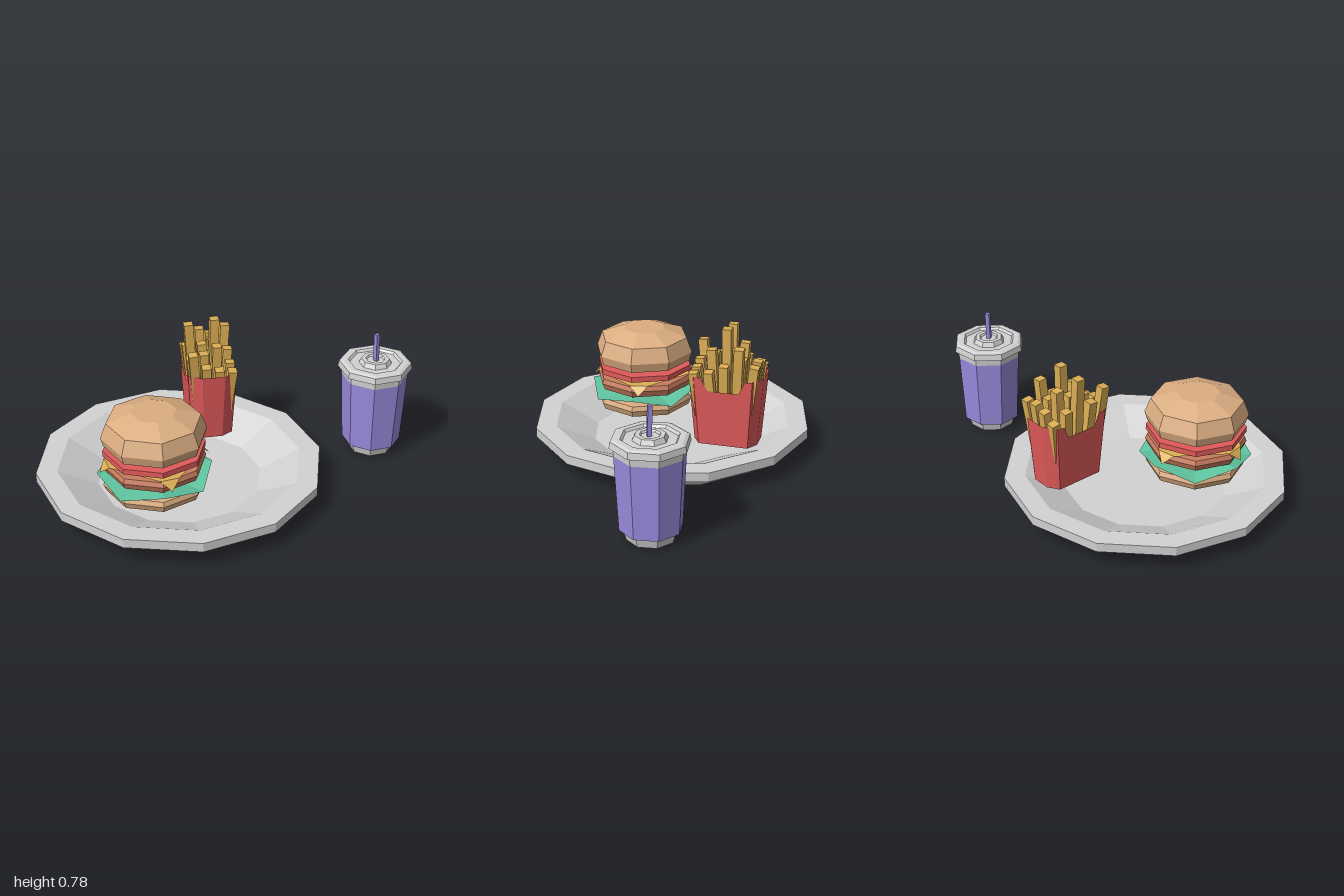
import * as THREE from 'three';

const mat = (name, color, side = THREE.FrontSide) => {
  const m = new THREE.MeshStandardMaterial({ color, side });
  m.name = name;
  return m;
};

// faceted copy of a geometry
const flat = (g) => {
  const f = g.index ? g.toNonIndexed() : g;
  f.computeVertexNormals();
  return f;
};

function add(parent, name, geometry, material) {
  const mesh = new THREE.Mesh(flat(geometry), material);
  mesh.name = name;
  parent.add(mesh);
  return mesh;
}

// profile is [radius, height] pairs, running up the outside
const lathe = (profile, sides, turn = 0) =>
  new THREE.LatheGeometry(profile.map(([r, y]) => new THREE.Vector2(r, y)), sides, turn);

// triangles from a centre point to a closed ring of points
function fan(centre, ring) {
  const pos = [];
  ring.forEach((p, i) => pos.push(...centre, ...p, ...ring[(i + 1) % ring.length]));
  return new THREE.BufferGeometry().setAttribute('position', new THREE.Float32BufferAttribute(pos, 3));
}

// wall between two closed rings of points
function wall(low, high) {
  const pos = [];
  low.forEach((a, i) => {
    const j = (i + 1) % low.length;
    pos.push(...a, ...low[j], ...high[j], ...a, ...high[j], ...high[i]);
  });
  return new THREE.BufferGeometry().setAttribute('position', new THREE.Float32BufferAttribute(pos, 3));
}

export function createModel() {
  const model = new THREE.Group();
  const grey = mat('light grey', 0xd2d2d2);
  const bun = mat('bun tan', 0xdcae82);
  const brown = mat('patty brown', 0xc87c5e);
  const green = mat('lettuce green', 0x5fc4a0, THREE.DoubleSide);
  const red = mat('red', 0xe05a5a, THREE.DoubleSide);
  const gold = mat('golden yellow', 0xdcae55, THREE.DoubleSide);
  const purple = mat('purple', 0x9a8ade);

  // plate: foot, flared underside, rim and sunken floor
  const plate = add(model, 'plate', lathe([
    [0, 0], [0.58, 0], [0.65, 0.05], [0.75, 0.1], [0.75, 0.15],
    [0.64, 0.15], [0.43, 0.05], [0, 0.05],
  ], 12), grey);
  plate.position.x = -0.25;

  // burger: stacked layers
  const burger = new THREE.Group();
  burger.name = 'burger';
  burger.position.set(-0.49, 0, 0.1);
  model.add(burger);
  const turn = Math.PI / 8 - 0.1;
  const layer = (name, profile, material) => add(burger, name, lathe(profile, 8, turn), material);
  layer('bottomBun', [[0, 0.15], [0.25, 0.15], [0.265, 0.185], [0.255, 0.21], [0, 0.21]], bun);
  layer('patty', [[0, 0.265], [0.25, 0.265], [0.265, 0.3], [0.255, 0.325], [0, 0.325]], brown);
  layer('tomato', [[0, 0.355], [0.262, 0.355], [0.262, 0.385], [0, 0.385]], red);
  layer('topBun', [[0, 0.41], [0.255, 0.41], [0.27, 0.46], [0.24, 0.54], [0.115, 0.585], [0, 0.585]], bun);

  // lettuce: thin sheet with a wavy edge
  const leaf = [];
  for (let i = 0; i < 8; i++) {
    const a = turn + (i * Math.PI) / 4;
    leaf.push([0.295 * Math.sin(a), i % 2 ? 0.258 : 0.215, 0.295 * Math.cos(a)]);
  }
  add(burger, 'lettuce', fan([0, 0.237, 0], leaf), green);

  // cheese: square slice whose four corners fold down
  const slice = [];
  const cheese = new THREE.Group();
  cheese.name = 'cheese';
  cheese.rotation.y = -0.35;
  burger.add(cheese);
  for (let i = 0; i < 4; i++) {
    const s = Math.sin((i * Math.PI) / 2), c = Math.cos((i * Math.PI) / 2);
    const at = (side, y, out) => [out * s + side * c, y, out * c - side * s];
    const l = at(-0.05, 0.334, 0.25), r = at(0.05, 0.334, 0.25);
    slice.push(l, r);
    add(cheese, 'cheeseCorner', fan(l, [r, at(0, 0.286, 0.288), l]), gold);
  }
  add(cheese, 'cheeseSlice', fan([0, 0.334, 0], slice), gold);

  // fries carton: tapered, bulging ends, long sides cut low
  const fries = new THREE.Group();
  fries.name = 'friesCarton';
  fries.position.set(0.115, 0, -0.21);
  fries.rotation.y = -Math.PI / 6;
  model.add(fries);
  const half = [
    [0.06, 0.53, 0.2], [0.13, 0.53, 0.155], [0.13, 0.525, 0.115], [0.13, 0.455, 0.085],
    [0.13, 0.455, -0.085], [0.13, 0.525, -0.115], [0.13, 0.53, -0.155], [0.06, 0.53, -0.2],
  ];
  const rim = [...half, ...half.map(([x, y, z]) => [-x, y, -z])];
  // taper is measured from full size at the rim height to 0.84 at the base
  const ringAt = (y) => rim.map(([x, , z]) => {
    const k = 0.84 + (0.16 * (y - 0.15)) / 0.38;
    return [x * k, y, z * k];
  });
  const top = rim.map(([x, y, z]) => {
    const k = 0.84 + (0.16 * (y - 0.15)) / 0.38;
    return [x * k, y, z * k];
  });
  add(fries, 'cartonWall', wall(ringAt(0.15), top), red);
  add(fries, 'cartonBase', fan([0, 0.15, 0], ringAt(0.15).reverse()), red);
  add(fries, 'cartonFilling', fan([0, 0.42, 0], ringAt(0.42)), red);

  // fries: rows of sticks fanning outward, by top height
  const heights = [
    [0.56, 0.60, 0.62, 0.61],
    [0.60, 0.69, 0.62, 0.70],
    [0.76, 0.64, 0.78, 0.60],
    [0.60, 0.62, 0.66, 0.56],
    [0.66, 0.58, 0.56, 0.55],
  ];
  const up = new THREE.Vector3(0, 1, 0);
  heights.forEach((row, i) => row.forEach((h, j) => {
    const x = (j - 1.5) * 0.058, z = (i - 2) * 0.07;
    const foot = new THREE.Vector3(x * 0.8, 0.2, z * 0.8);
    const tip = new THREE.Vector3(x * 1.2, h - 0.005, z * 1.15);
    const axis = tip.clone().sub(foot);
    const fry = add(fries, 'fry', new THREE.BoxGeometry(0.048, axis.length(), 0.048), gold);
    fry.position.copy(foot).add(tip).multiplyScalar(0.5);
    fry.quaternion.setFromUnitVectors(up, axis.normalize());
  }));

  // drink: foot, sleeve, lid and straw
  const cup = new THREE.Group();
  cup.name = 'cup';
  cup.position.set(0.8, 0, 0.365);
  model.add(cup);
  add(cup, 'cupFoot', lathe([[0, 0], [0.122, 0], [0.135, 0.045], [0.157, 0.055]], 8), grey);
  add(cup, 'cupSleeve', lathe([[0.157, 0.055], [0.177, 0.445]], 8), purple);
  add(cup, 'cupLid', lathe([
    [0.177, 0.445], [0.18, 0.485], [0.198, 0.487], [0.192, 0.52], [0.175, 0.528],
    [0.145, 0.528], [0.135, 0.515], [0.088, 0.515], [0.075, 0.54], [0.052, 0.54],
    [0.045, 0.53], [0, 0.53],
  ], 8), grey);
  const straw = add(cup, 'straw', new THREE.BoxGeometry(0.022, 0.165, 0.022), purple);
  straw.position.set(0, 0.602, 0.003);
  straw.rotation.x = -0.03;

  return model;
}
